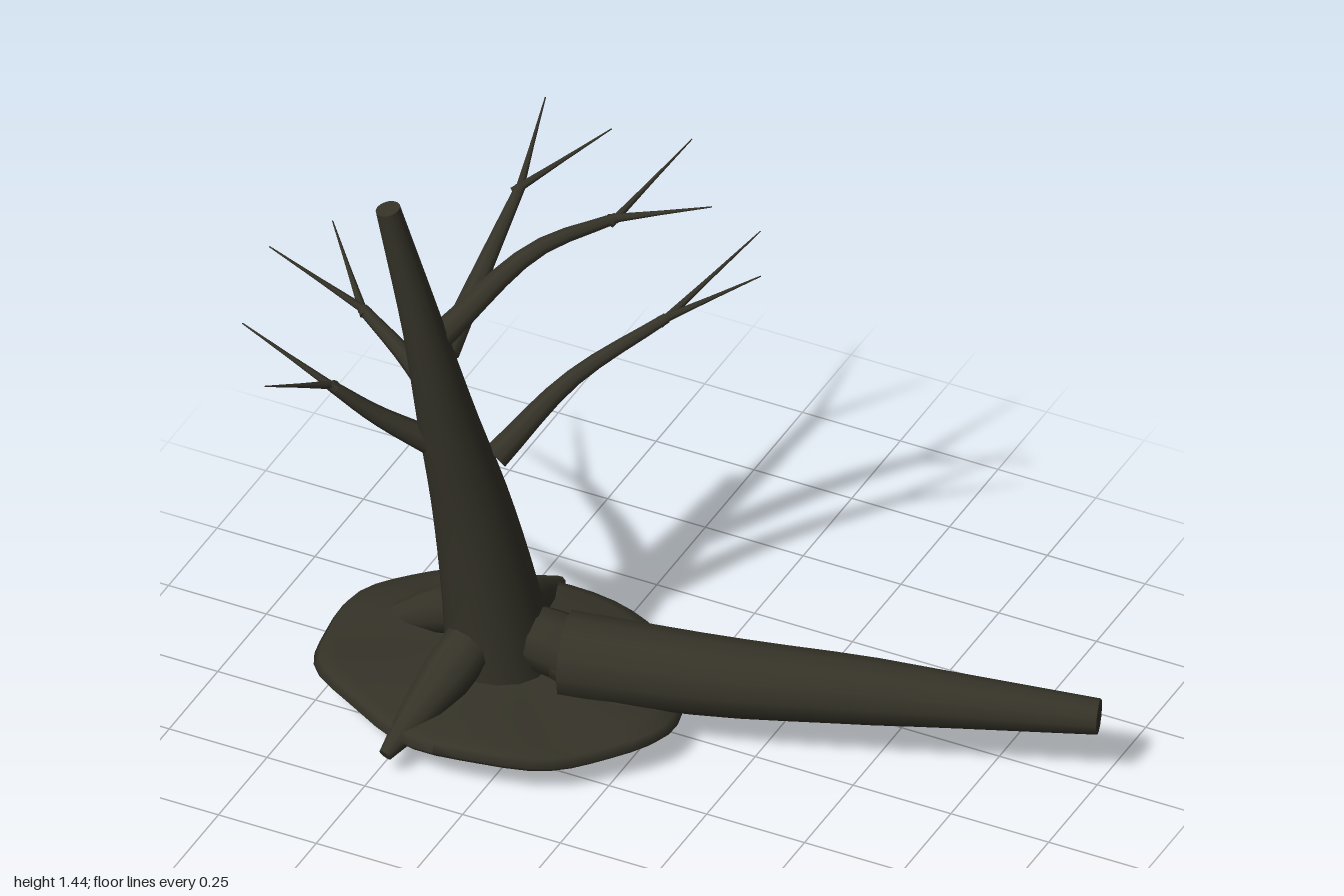
import * as THREE from 'three';
import { mergeGeometries } from 'three/addons/utils/BufferGeometryUtils.js';

const bark = new THREE.MeshStandardMaterial({ color: 0x353328 });
bark.name = 'dark bark';

// Tapered limb through points [x, y, z, radius], closed with flat ends
function limbGeometry(points, sides = 10, steps = 5) {
  const curve = new THREE.CatmullRomCurve3(points.map(p => new THREE.Vector3(p[0], p[1], p[2])));
  const spans = points.length - 1;
  const rings = spans * steps;
  const tube = new THREE.TubeGeometry(curve, rings, 1, sides);
  const pos = tube.attributes.position;
  const v = new THREE.Vector3();
  for (let i = 0; i <= rings; i++) {
    const centre = curve.getPointAt(i / rings);
    const t = curve.getUtoTmapping(i / rings) * spans;
    const k = Math.min(Math.floor(t), spans - 1);
    const r = THREE.MathUtils.lerp(points[k][3], points[k + 1][3], t - k);
    for (let j = 0; j <= sides; j++) {
      const n = i * (sides + 1) + j;
      v.fromBufferAttribute(pos, n).sub(centre).multiplyScalar(r).add(centre);
      pos.setXYZ(n, v.x, v.y, v.z);
    }
  }
  const flat = tube.toNonIndexed();
  flat.deleteAttribute('uv');

  // End caps fan out from the path ends
  const caps = [];
  for (const end of [0, rings]) {
    const c = curve.getPointAt(end / rings);
    const tangent = curve.getTangentAt(end / rings).multiplyScalar(end ? 1 : -1);
    for (let j = 0; j < sides; j++) {
      const a = new THREE.Vector3().fromBufferAttribute(pos, end * (sides + 1) + j);
      const b = new THREE.Vector3().fromBufferAttribute(pos, end * (sides + 1) + j + 1);
      const facing = a.clone().sub(c).cross(b.clone().sub(c)).dot(tangent) > 0;
      caps.push(c, facing ? a : b, facing ? b : a);
    }
  }
  const cap = new THREE.BufferGeometry().setFromPoints(caps);
  cap.computeVertexNormals();
  return mergeGeometries([flat, cap]);
}

function addMesh(parent, name, geometry) {
  const mesh = new THREE.Mesh(geometry, bark);
  mesh.name = name;
  parent.add(mesh);
  return mesh;
}

// Branch: a bent stem with two pointed twigs at its fork
function addBranch(parent, name, stem, tips) {
  const group = new THREE.Group();
  group.name = name;
  const radii = [0.034, 0.022, 0.013];
  addMesh(group, 'stem', limbGeometry(stem.map((p, i) => [...p, radii[i]]), 8, 4));
  const fork = stem[2];
  for (const tip of tips) {
    const base = fork.map((c, i) => c - (tip[i] - c) * 0.08);
    addMesh(group, 'twig', limbGeometry([[...base, 0.011], [...tip, 0.0015]], 6, 2));
  }
  parent.add(group);
}

// Wavy, flattened mound of earth
function moundGeometry() {
  const profile = [[0, 0.06], [0.5, 0.058], [0.85, 0.06], [0.96, 0.068], [1, 0.085],
    [0.97, 0.104], [0.88, 0.115], [0.6, 0.125], [0.3, 0.14], [0, 0.15]];
  const geo = new THREE.LatheGeometry(profile.map(p => new THREE.Vector2(p[0], p[1])), 48);
  const pos = geo.attributes.position;
  for (let i = 0; i < pos.count; i++) {
    const x = pos.getX(i), z = pos.getZ(i);
    const a = Math.atan2(z, x), r = Math.hypot(x, z);
    const wave = 1 + 0.018 * Math.sin(5 * a + 1) + 0.012 * Math.sin(8 * a);
    const lift = r * r * (0.006 * Math.sin(6 * a) - 0.01 * Math.cos(a) + 0.004 * Math.sin(a));
    pos.setXYZ(i, -0.365 + x * wave * 0.44, pos.getY(i) + lift, 0.06 + z * wave * 0.362);
  }
  geo.computeVertexNormals();
  return geo;
}

export function createModel() {
  const tree = new THREE.Group();
  tree.name = 'dead tree';

  addMesh(tree, 'trunk', limbGeometry([
    [-0.355, 0.017, 0.06, 0.138], [-0.385, 0.3, 0.08, 0.114], [-0.42, 0.57, 0.112, 0.092],
    [-0.457, 0.8, 0.15, 0.072], [-0.505, 1.1, 0.193, 0.048], [-0.575, 1.433, 0.23, 0.029]], 16, 4));
  addMesh(tree, 'mound', moundGeometry());

  // Roots spreading over the mound
  const roots = {
    frontRoot: [[-0.39, 0.24, 0.1, 0.06], [-0.42, 0.17, 0.24, 0.062], [-0.455, 0.1, 0.36, 0.038], [-0.478, 0.055, 0.44, 0.016]],
    backRoot: [[-0.37, 0.24, 0.03, 0.06], [-0.39, 0.17, -0.1, 0.06], [-0.41, 0.105, -0.23, 0.038], [-0.42, 0.055, -0.34, 0.016]],
    rightRoot: [[-0.42, 0.24, 0.06, 0.06], [-0.53, 0.18, 0.02, 0.06], [-0.65, 0.105, 0, 0.038], [-0.745, 0.055, 0.0, 0.016]],
    leftRoot: [[-0.33, 0.24, 0.07, 0.06], [-0.2, 0.18, 0.07, 0.06], [-0.06, 0.1, 0.08, 0.038], [0.05, 0.055, 0.09, 0.016]],
  };
  for (const [name, points] of Object.entries(roots)) addMesh(tree, name, limbGeometry(points, 10, 4));

  // Fallen log and the broken stub joining it to the trunk
  addMesh(tree, 'fallenLog', limbGeometry([
    [-0.205, 0.178, 0.055, 0.104], [0.15, 0.178, -0.025, 0.094],
    [0.47, 0.18, -0.12, 0.08], [0.99, 0.17, -0.28, 0.042]], 12, 4));
  addMesh(tree, 'logStub', limbGeometry([[-0.33, 0.22, 0.07, 0.07], [-0.25, 0.205, 0.06, 0.078], [-0.16, 0.18, 0.045, 0.08]], 10, 3));

  addBranch(tree, 'lowLeftBranch', [[-0.38, 0.69, 0.07], [-0.27, 0.835, -0.1], [-0.11, 0.95, -0.27]],
    [[0.03, 1.11, -0.47], [0.09, 1.08, -0.35]]);
  addBranch(tree, 'highLeftBranch', [[-0.475, 1.06, 0.155], [-0.33, 1.225, -0.03], [-0.2, 1.255, -0.19]],
    [[0.02, 1.325, -0.24], [-0.12, 1.355, -0.42]]);
  addBranch(tree, 'backBranch', [[-0.48, 0.99, 0.12], [-0.475, 1.12, -0.08], [-0.475, 1.215, -0.25]],
    [[-0.53, 1.295, -0.49], [-0.33, 1.31, -0.43]]);
  addBranch(tree, 'rightBranch', [[-0.46, 0.75, 0.09], [-0.62, 0.86, 0.03], [-0.77, 0.92, -0.03]],
    [[-1.0, 1.03, -0.015], [-0.93, 1.005, -0.2]]);
  addBranch(tree, 'frontRightBranch', [[-0.48, 0.76, 0.17], [-0.6, 0.85, 0.24], [-0.69, 0.94, 0.295]],
    [[-0.91, 1.05, 0.305], [-0.76, 1.04, 0.49]]);

  return tree;
}
